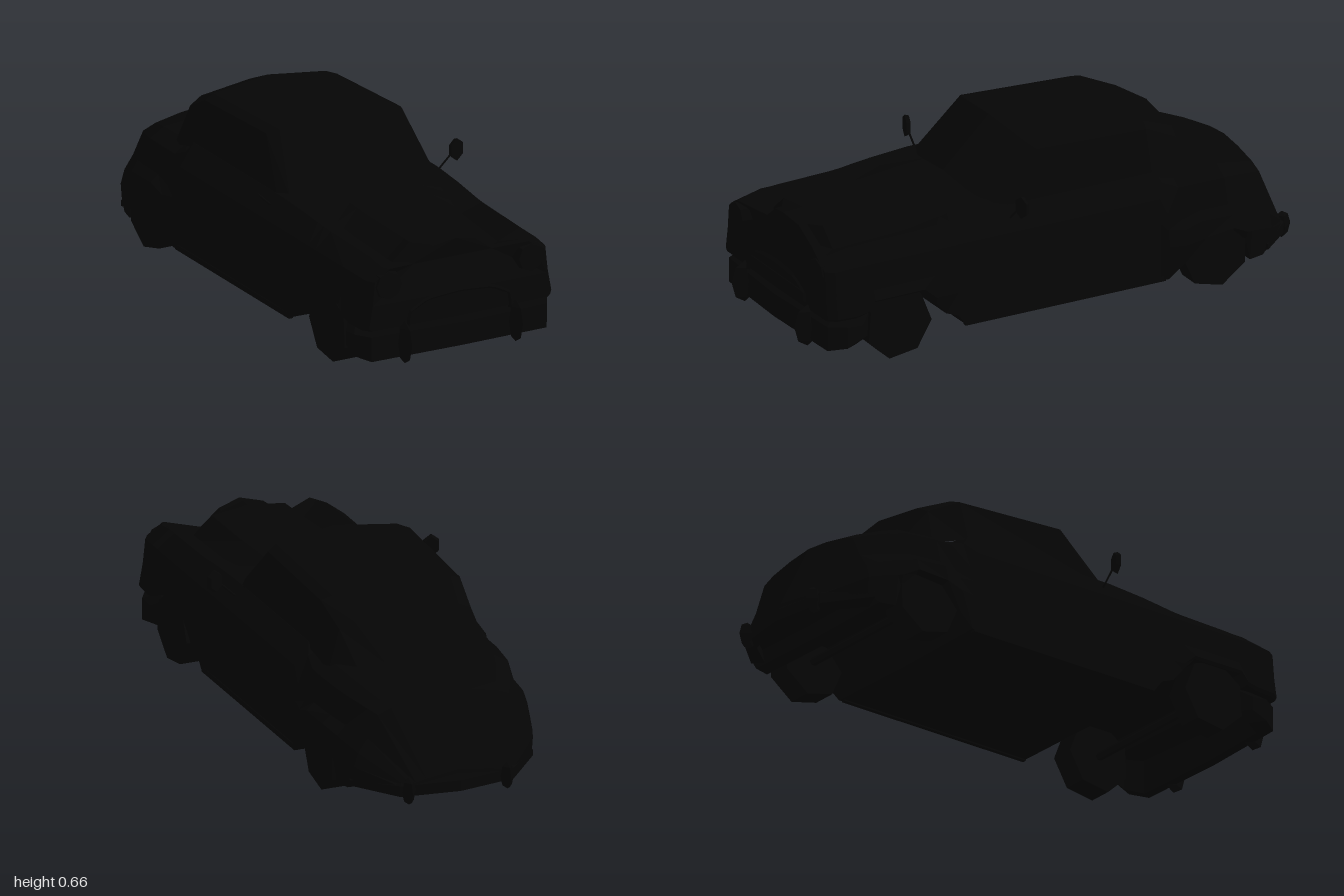
import * as THREE from 'three';

const paint = new THREE.MeshStandardMaterial({ color: 0x050505 });
paint.name = 'black paint';

// Faceted mesh with a name
function part(geometry, name, parent) {
  const g = geometry.index ? geometry.toNonIndexed() : geometry;
  g.computeVertexNormals();
  const mesh = new THREE.Mesh(g, paint);
  mesh.name = name;
  parent.add(mesh);
  return mesh;
}

function indexed(points, index) {
  const g = new THREE.BufferGeometry();
  g.setAttribute('position', new THREE.Float32BufferAttribute(points.flat(), 3));
  g.setIndex(index);
  return g;
}

// Skin over half rings (+x side, bottom to top), mirrored, ordered front to rear
function loft(halves, closed) {
  const rings = halves.map(h => [...h, ...h.slice(closed ? 1 : 0, -1).reverse().map(([x, y, z]) => [-x, y, z])]);
  const n = rings[0].length;
  const index = [];
  for (let s = 0; s < rings.length - 1; s++) {
    for (let i = 0; i < (closed ? n : n - 1); i++) {
      const j = (i + 1) % n, a = s * n, b = a + n;
      if (i < halves[0].length - 1) index.push(a + i, b + i, b + j, a + i, b + j, a + j);
      else index.push(a + i, b + i, a + j, b + i, b + j, a + j);
    }
  }
  if (closed) {
    const cap = (r, flip) => {
      const pts = rings[r].map(p => new THREE.Vector2(p[0], p[1]));
      for (const [a, b, c] of THREE.ShapeUtils.triangulateShape(pts, [])) {
        index.push(r * n + a, r * n + (flip ? c : b), r * n + (flip ? b : c));
      }
    };
    cap(0, false);
    cap(rings.length - 1, true);
  }
  return indexed(rings.flat(), index);
}

// Solid band along half a path of [x, z, low, high], mirrored; dir is the way it faces
function bumper(path, depth, dir) {
  const all = [...path, ...path.slice(0, -1).reverse().map(([x, ...r]) => [-x, ...r])];
  const points = all.flatMap(([x, z, lo, hi]) => {
    const xi = x * 0.9, zi = z - dir * depth;
    return [[x, lo + .01, z], [x, hi - .03, z], [xi, hi, zi], [xi, lo, zi]];
  });
  const index = [];
  for (let s = 0; s < all.length - 1; s++) {
    for (let i = 0; i < 4; i++) {
      const a = s * 4 + i, b = s * 4 + (i + 1) % 4;
      index.push(a, b, b + 4, a, b + 4, a + 4);
    }
  }
  const e = points.length - 4;
  index.push(0, 2, 1, 0, 3, 2, e, e + 1, e + 2, e, e + 2, e + 3);
  return indexed(points, dir > 0 ? index : index.reverse());
}

// Half sections from lower flank to top centre: x, y and optional setback in z
const nose = [[.38, 0], [.39, .2], [.375, .28], [.365, .37], [.30, .41], [.17, .39, .05], [.09, .445, .04], [0, .465, .025]];
const fender = [[.38, 0], [.39, .2], [.375, .28], [.365, .375], [.30, .425], [.21, .388], [.14, .45], [0, .468]];
const middle = [[.37, 0], [.37, .2], [.368, .285], [.365, .375], [.31, .455], [.25, .465], [.15, .475], [0, .493]];
const flare = [[.38, 0], [.392, .19], [.382, .235], [.364, .27], [.335, .39], [.28, .425], [.15, .435], [0, .44]];
const haunch = [[.385, 0], [.405, .2], [.39, .27], [.36, .295], [.335, .39], [.28, .425], [.15, .435], [0, .44]];
const tail = [[.335, 0], [.34, .16], [.325, .21], [.29, .26], [.25, .34], [.2, .36], [.1, .38], [0, .39]];
const tip = [[.2, 0], [.2, .1], [.19, .105], [.18, .11], [.16, .115], [.12, .12], [.06, .125], [0, .13]];

// z, lower edge (raised over the wheels), sections blended, blend, width
const stations = [
  [.945, .19, nose, nose, 0, .93], [.915, .19, nose, nose, 0, .985],
  [.84, .19, fender, fender, 0, 1], [.80, .2, fender, fender, 0, 1],
  [.77, .235, fender, middle, .05, 1], [.57, .235, fender, middle, .2, 1],
  [.52, .18, fender, middle, .3, 1], [.48, .13, fender, middle, .45, 1],
  [.43, .11, fender, middle, .6, 1], [.40, .07, fender, middle, .7, 1],
  [.25, .07, middle, middle, 0, 1], [-.38, .07, middle, middle, 0, 1],
  [-.41, .07, middle, flare, .6, 1], [-.47, .12, flare, haunch, .3, 1],
  [-.54, .2, haunch, haunch, 0, 1], [-.66, .21, haunch, tail, .12, 1],
  [-.72, .15, haunch, tail, .35, 1], [-.74, .07, haunch, tail, .45, 1],
  [-.80, .07, haunch, tail, .75, 1], [-.84, .1, tail, tail, 0, 1], [-.965, .085, tip, tip, 0, 1],
];

function bodyRing([z, arch, a, b, t, width]) {
  const flank = a.map(([x, y, back = 0], i) => [
    THREE.MathUtils.lerp(x, b[i][0], t) * width,
    Math.max(arch + i * .008, THREE.MathUtils.lerp(y, b[i][1], t)), z - back]);
  return [[0, arch - .005, z], ...flank];
}

export function createModel() {
  const car = new THREE.Group();
  car.name = 'car';

  part(loft(stations.map(bodyRing), true), 'body', car);

  // Cabin: windscreen base, roof front, roof rear, rear window, deck
  part(loft([
    [[.31, .44, .21], [.28, .455, .24], [.2, .47, .27], [0, .485, .29]],
    [[.313, .44, .19], [.27, .625, .06], [.23, .64, .08], [0, .665, .1]],
    [[.313, .44, -.38], [.265, .605, -.38], [.225, .62, -.39], [0, .645, -.4]],
    [[.30, .40, -.53], [.25, .54, -.51], [.2, .565, -.52], [0, .587, -.53]],
    [[.28, .40, -.58], [.22, .42, -.6], [.12, .428, -.61], [0, .438, -.62]],
  ], false), 'cabin', car);

  // Mouth surround and grille
  const arch = new THREE.CatmullRomCurve3([[-.205, .18], [-.2, .235], [-.13, .272], [0, .282], [.13, .272], [.2, .235], [.205, .18]]
    .map(([x, y]) => new THREE.Vector3(x, y, .942)), false, 'catmullrom', .1);
  part(new THREE.TubeGeometry(arch, 18, .01, 4), 'grilleSurround', car);
  part(new THREE.BoxGeometry(.38, .012, .012), 'grilleBar', car).position.set(0, .235, .942);

  // Bumpers
  part(bumper([[.385, .82, .1, .19], [.387, .88, .075, .195], [.35, .94, .065, .195], [0, .958, .07, .195]], .05, 1), 'frontBumper', car);
  part(bumper([[.35, -.82, .075, .135], [.215, -.958, .06, .14], [0, -.99, .06, .14]], .04, -1), 'rearBumper', car);

  for (const s of [1, -1]) {
    // Bumper guards
    part(new THREE.SphereGeometry(1, 4, 4).scale(.026, .078, .052), 'frontGuard', car).position.set(s * .222, .128, .948);
    part(new THREE.SphereGeometry(1, 4, 4).scale(.026, .05, .035), 'rearGuard', car).position.set(s * .187, .09, -.965);

    // Headlights
    part(new THREE.CylinderGeometry(.05, .06, .05, 8).rotateX(Math.PI / 2), 'headlight', car).position.set(s * .285, .35, .925);

    // Wheels
    for (const [name, z, turn] of [['frontWheel', .665, .3], ['rearWheel', -.6, -.2]]) {
      const wheel = new THREE.CylinderGeometry(.13, .13, .09, 7).rotateZ(Math.PI / 2).rotateX(Math.PI / 2 - turn);
      part(wheel, name, car).position.set(s * .325, .128, z);
    }

    // Sills
    part(new THREE.BoxGeometry(.016, .02, .8), 'sill', car).position.set(s * .365, .075, 0);

    // Door mirrors
    const from = new THREE.Vector3(s * .325, .41, .2), to = new THREE.Vector3(s * .392, .474, .2);
    part(new THREE.TubeGeometry(new THREE.LineCurve3(from, to), 1, .004, 4), 'mirrorStalk', car);
    const head = part(new THREE.CylinderGeometry(.042, .036, .016, 6).rotateX(Math.PI / 2), 'mirror', car);
    head.scale.x = .76;
    head.rotation.y = s * .25;
    head.position.set(s * .411, .485, .195);
  }

  // Axles
  for (const [name, z] of [['frontAxle', .665], ['rearAxle', -.6]]) {
    part(new THREE.CylinderGeometry(.015, .015, .6, 6).rotateZ(Math.PI / 2), name, car).position.set(0, .128, z);
  }
  return car;
}
